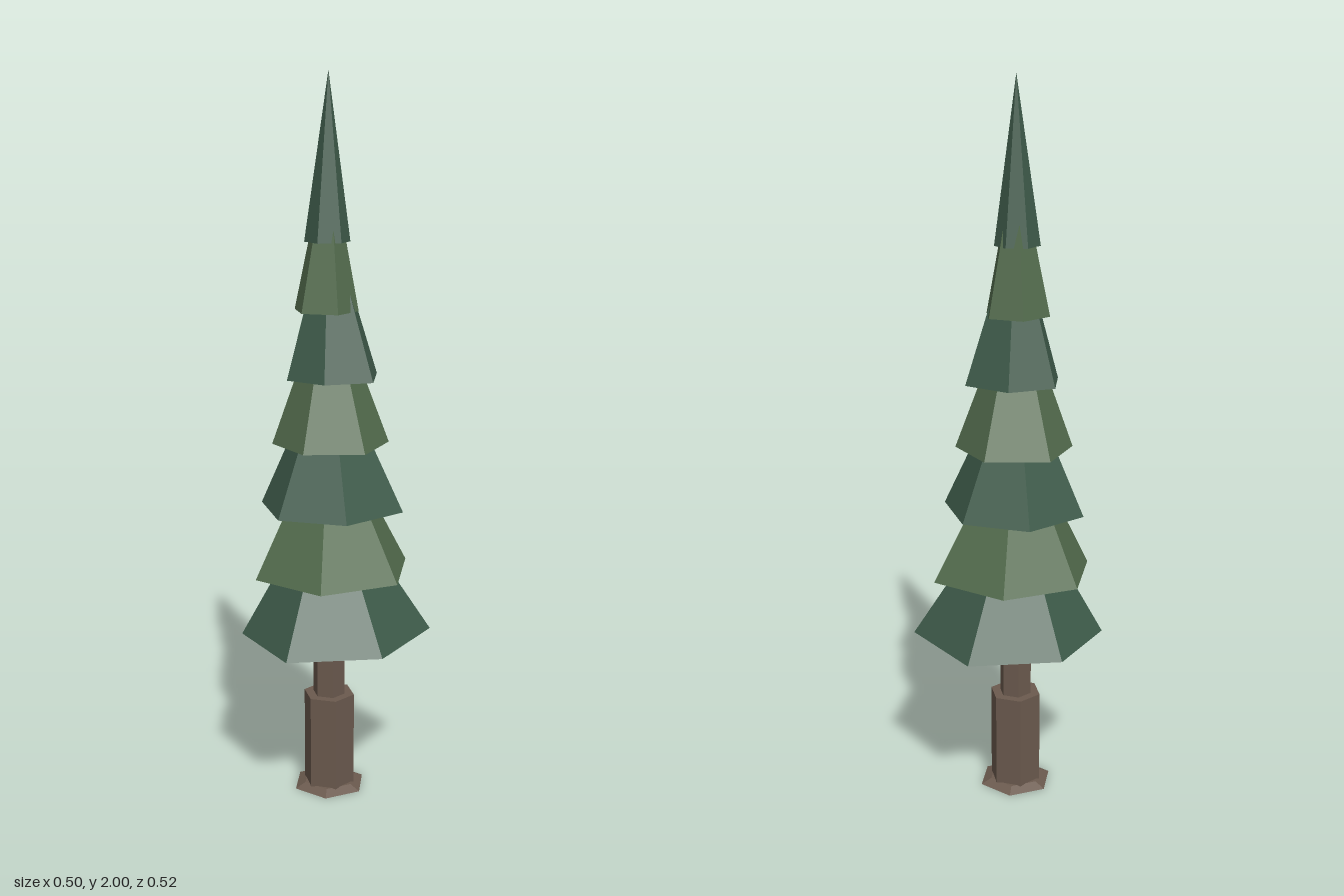
import * as THREE from 'three';

const AXIS_X = -0.02;
const TIER_HEIGHT = 0.44;

const flat = (color, side = THREE.FrontSide) =>
  new THREE.MeshStandardMaterial({ color, flatShading: true, side });

// Uneven base radii of each foliage tier, lowest first, one per corner
const TIERS = [
  [0.254, 0.264, 0.245, 0.241, 0.267, 0.287],
  [0.228, 0.223, 0.220, 0.214, 0.218, 0.240],
  [0.210, 0.190, 0.190, 0.195, 0.188, 0.190],
  [0.170, 0.157, 0.155, 0.175, 0.174, 0.165],
  [0.145, 0.117, 0.123, 0.133, 0.131, 0.145],
  [0.083, 0.100, 0.100, 0.095, 0.100, 0.095],
  [0.060, 0.068, 0.065, 0.060, 0.057, 0.058],
];

// Open six-sided cone whose rim corners are pushed to the given radii
function tierGeometry(radii, phaseDeg) {
  const geo = new THREE.ConeGeometry(1, TIER_HEIGHT, 6, 1, true);
  const pos = geo.attributes.position;
  for (let j = 0; j <= 6; j++) {
    const k = (6 - j) % 6;
    const a = THREE.MathUtils.degToRad(phaseDeg + 60 * k);
    pos.setXYZ(7 + j, radii[k] * Math.cos(a), -TIER_HEIGHT / 2, radii[k] * Math.sin(a));
  }
  const out = geo.toNonIndexed();
  out.computeVertexNormals();
  return out;
}

export function createModel() {
  const tree = new THREE.Group();
  tree.name = 'pineTree';

  const bark = flat(0x6b5a4e);
  const greens = [
    flat(0x3f5c4b, THREE.DoubleSide),
    flat(0x546d4e, THREE.DoubleSide),
  ];

  // Six-sided trunk sections
  const addTrunk = (name, rTop, rBottom, y0, y1, turnDeg) => {
    const geo = new THREE.CylinderGeometry(rTop, rBottom, y1 - y0, 6, 1, false,
      THREE.MathUtils.degToRad(turnDeg));
    const mesh = new THREE.Mesh(geo, bark);
    mesh.name = name;
    mesh.position.set(AXIS_X, (y0 + y1) / 2, 0);
    tree.add(mesh);
  };
  addTrunk('rootFlare', 0.075, 0.105, 0, 0.014, 70);
  addTrunk('lowerTrunk', 0.073, 0.073, 0, 0.28, 90);
  addTrunk('upperTrunk', 0.046, 0.046, 0.28, 0.75, 90);

  // Foliage tiers, each turned 40 degrees from the one below
  const foliage = new THREE.Group();
  foliage.name = 'foliage';
  TIERS.forEach((radii, i) => {
    const phase = [40, 20, 0][i % 3];
    const mesh = new THREE.Mesh(tierGeometry(radii, phase), greens[i % 2]);
    mesh.name = `foliageTier${i + 1}`;
    mesh.position.set(AXIS_X, 0.465 + i * 0.1825 + TIER_HEIGHT / 2, 0);
    foliage.add(mesh);
  });
  tree.add(foliage);

  return tree;
}
